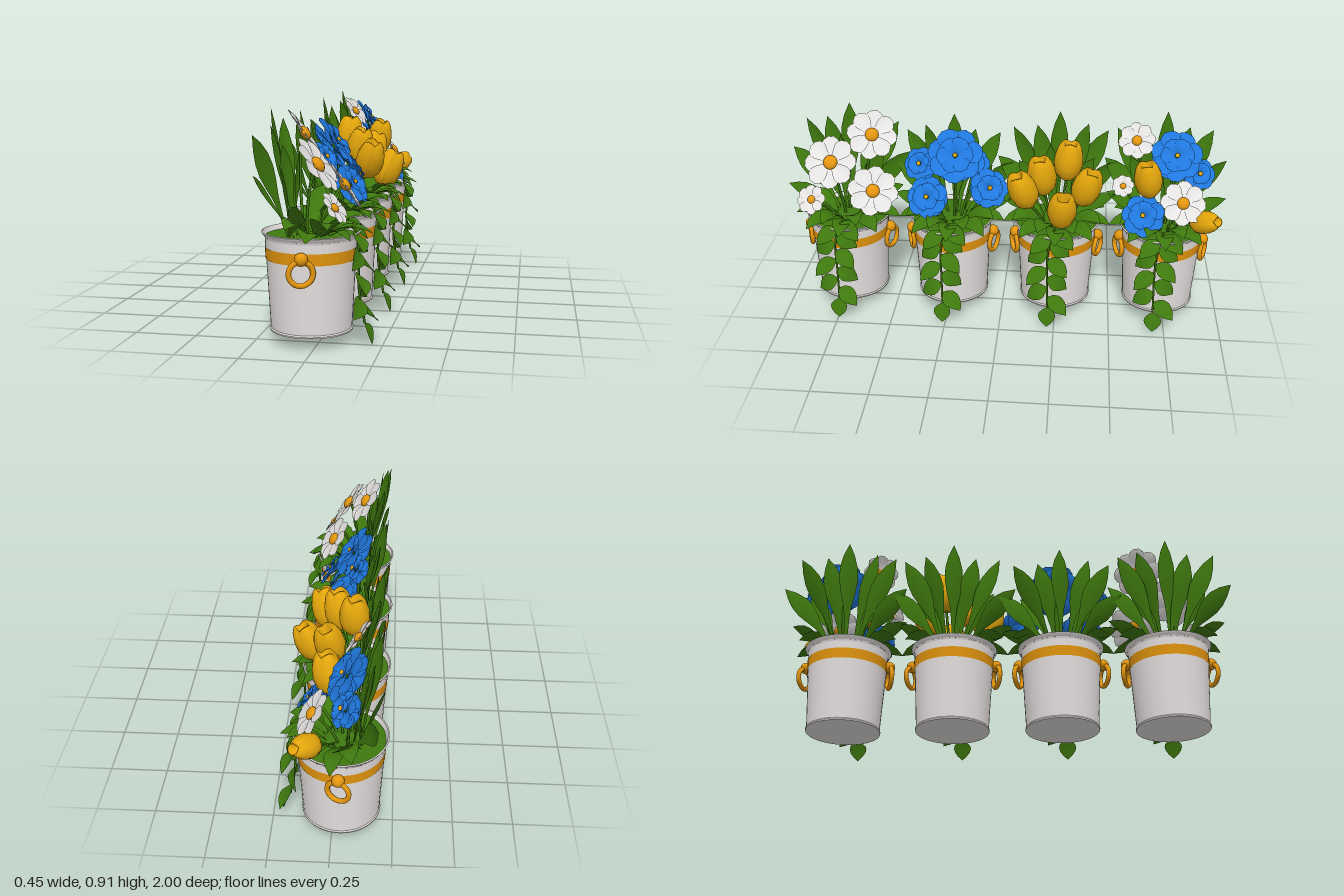
import * as THREE from 'three';
import { mergeGeometries, toCreasedNormals } from 'three/addons/utils/BufferGeometryUtils.js';

const V = (x, y, z) => new THREE.Vector3(x, y, z);
const mat = (name, color) => {
  const m = new THREE.MeshStandardMaterial({ color, side: THREE.DoubleSide });
  m.name = name;
  return m;
};
const POT_X = -0.035;
const POT_Z = [0.717, 0.236, -0.245, -0.725];

// Width profiles from base to tip
const LEAF = [0.1, 0.6, 0.92, 1, 0.88, 0.55, 0];
const BLADE = [0.13, 0.16, 0.24, 0.42, 0.76, 1, 0.95, 0.6, 0];
const PETAL = [0.3, 0.5, 0.75, 0.96, 1, 0.82, 0.3];

// Folded strip along a quadratic curve, spread sideways from the facing direction
function ribbon(a, b, c, width, profile, facing, fold = 0.12) {
  const curve = new THREE.QuadraticBezierCurve3(a, b, c);
  const pos = [], idx = [], n = profile.length - 1;
  profile.forEach((w, i) => {
    const p = curve.getPoint(i / n), t = curve.getTangent(i / n);
    const side = t.clone().cross(facing).normalize();
    const up = side.clone().cross(t);
    for (const s of [-1, 0, 1]) {
      const q = p.clone().addScaledVector(side, s * w * width / 2);
      if (s === 0) q.addScaledVector(up, -fold * w * width);
      pos.push(q.x, q.y, q.z);
    }
    if (i < n) for (const k of [0, 1]) {
      const o = i * 3 + k;
      idx.push(o, o + 1, o + 3, o + 1, o + 4, o + 3);
    }
  });
  const g = new THREE.BufferGeometry();
  g.setAttribute('position', new THREE.Float32BufferAttribute(pos, 3));
  g.setIndex(idx);
  g.computeVertexNormals();
  return g;
}

// Ring of petals around +y
function petals(count, r, width, lift, base, turn = 0) {
  return Array.from({ length: count }, (_, i) => {
    const a = (i / count) * Math.PI * 2 + turn, c = Math.cos(a), s = Math.sin(a);
    const y = base + (i % 2) * 0.004;
    return ribbon(V(c * r * 0.1, y, s * r * 0.1), V(c * r * 0.6, y + lift, s * r * 0.6),
      V(c * r, y + lift * 0.4, s * r), width, PETAL, V(0, 1, 0));
  });
}

// Cup with three soft lobes
function tulipGeometry() {
  const pts = [[0.004, -0.088], [0.034, -0.08], [0.056, -0.052], [0.065, -0.012], [0.062, 0.03],
    [0.051, 0.066], [0.036, 0.09], [0.026, 0.092], [0.02, 0.06], [0.001, 0.04]];
  const g = new THREE.LatheGeometry(pts.map(p => new THREE.Vector2(...p)), 24);
  const p = g.attributes.position;
  for (let i = 0; i < p.count; i++) {
    const x = p.getX(i), y = p.getY(i), z = p.getZ(i);
    const lobe = Math.abs(Math.cos(1.5 * Math.atan2(z, x))) - 0.6;
    const k = 1 + 0.07 * lobe;
    p.setXYZ(i, x * k, y + (y > 0.06 ? 0.014 * lobe : 0), z * k);
  }
  g.computeVertexNormals();
  return g;
}

// Flowers of each pot: kind, x, y, z, then radius, or size and lean for tulips
const FLOWERS = [
  [['daisy', 0, 0.695, 0.776, 0.12], ['daisy', -0.09, 0.797, 0.6, 0.113],
    ['daisy', 0.065, 0.593, 0.578, 0.113], ['daisy', 0.08, 0.545, 0.856, 0.068]],
  [['blue', -0.035, 0.735, 0.216, 0.125], ['blue', 0.06, 0.57, 0.335, 0.096],
    ['blue', 0.01, 0.6, 0.06, 0.09], ['blue', -0.05, 0.68, 0.38, 0.078], ['blue', -0.05, 0.69, 0.13, 0.07]],
  [['tulip', -0.07, 0.71, -0.29, 1, 1], ['tulip', 0.03, 0.63, -0.375, 1, 1], ['tulip', 0.12, 0.56, -0.27, 1, 0.9],
    ['tulip', 0, 0.665, -0.175, 1, 1], ['tulip', 0.06, 0.62, -0.095, 1, 1]],
  [['daisy', -0.1, 0.808, -0.59, 0.082], ['daisy', 0.01, 0.636, -0.537, 0.05], ['daisy', 0.07, 0.593, -0.797, 0.1],
    ['blue', -0.05, 0.765, -0.765, 0.115], ['blue', 0.09, 0.535, -0.627, 0.096], ['blue', -0.05, 0.68, -0.87, 0.075],
    ['tulip', 0.02, 0.675, -0.643, 0.95, 1], ['tulip', 0.09, 0.515, -0.895, 0.78, 3.2]],
];

export function createModel() {
  const model = new THREE.Group();
  const M = {
    pot: mat('white enamel', 0xe8e2e2), gold: mat('gold trim', 0xe4960e),
    leaf: mat('leaf green', 0x3f790e), soil: mat('moss green', 0x3f7a10),
    daisy: mat('white petal', 0xe8e6e4), blue: mat('blue petal', 0x2079e0),
    tulip: mat('yellow petal', 0xe4a60c),
  };
  const add = (parent, name, geometry, material) => {
    const m = new THREE.Mesh(geometry, material);
    m.name = name;
    parent.add(m);
    return m;
  };

  const potGeo = toCreasedNormals(new THREE.LatheGeometry([[0, 0.05], [0.162, 0.05], [0.163, 0.056],
    [0.159, 0.061], [0.179, 0.418], [0.191, 0.431], [0.193, 0.436], [0.187, 0.438], [0.178, 0.41]]
    .map(p => new THREE.Vector2(...p)), 48), 0.6);
  const bandGeo = new THREE.CylinderGeometry(0.179, 0.1765, 0.046, 48, 1, true);
  const soilGeo = new THREE.CircleGeometry(0.181, 40).rotateX(-Math.PI / 2);
  const ringGeo = new THREE.TorusGeometry(0.046, 0.0105, 10, 28);
  const knobGeo = new THREE.SphereGeometry(0.026, 16, 12);
  const tulipGeo = tulipGeometry();

  POT_Z.forEach((pz, n) => {
    // Pot with band and ring handles
    const pot = new THREE.Group();
    pot.name = 'pot';
    pot.position.set(POT_X, 0, pz);
    model.add(pot);
    add(pot, 'bucket', potGeo, M.pot);
    add(pot, 'band', bandGeo, M.gold).position.y = 0.355;
    add(pot, 'soil', soilGeo, M.soil).position.y = 0.418;
    for (const s of [-1, 1]) {
      const ring = add(pot, 'ringHandle', ringGeo, M.gold);
      ring.position.set(0.003, 0.307, s * 0.192);
      ring.rotation.y = s * 0.36;
      add(pot, 'handleKnob', knobGeo, M.gold).position.set(0.003, 0.36, s * 0.188);
    }

    // Tall blades fanned along the back: sideways reach, tip height, tip x
    const greens = [];
    const fan = [[-0.27, 0.67, -0.14], [-0.22, 0.81, -0.165], [-0.13, 0.85, -0.14], [0, 0.9, -0.155],
      [0.1, 0.84, -0.13], [0.21, 0.81, -0.17], [0.28, 0.67, -0.15], [-0.16, 0.71, -0.08],
      [0.04, 0.76, -0.1], [0.18, 0.69, -0.07], [-0.26, 0.57, 0], [0.27, 0.56, 0.01]];
    fan.forEach(([dz, y, x], i) => {
      const z = dz * (n % 2 ? -1 : 1);
      const h = y + [0.01, -0.03, 0, 0.015][n];
      const facing = i < 10 ? V(1, 0.1, (i % 3 - 1) * 0.5) : V(0.6, 1, 0);
      greens.push(ribbon(V(-0.05 - 0.03 * (i % 2), 0.41, z * 0.2), V(x * 0.6 - 0.025, 0.42 + (h - 0.42) * 0.55, z * 0.5),
        V(x, h, z), i < 7 ? 0.088 : 0.075, BLADE, facing));
    });

    // Short leaves spreading over the sides and front of the rim
    for (let i = 0; i < 11; i++) {
      const a = (i - 5) * 0.36, r = 0.225 + 0.02 * (i % 2), c = Math.cos(a), s = Math.sin(a);
      const y = i % 2 ? 0.43 : 0.475;
      greens.push(ribbon(V(c * 0.06, 0.42, s * 0.06), V(c * 0.15, y + 0.07, s * 0.15),
        V(c * r, y, s * r), 0.085, LEAF, V(0.3, 1, 0)));
    }

    // Hanging vine with paired leaves
    const vine = new THREE.CatmullRomCurve3([V(0.07, 0.42, 0), V(0.165, 0.455, 0.01), V(0.192, 0.37, 0.03),
      V(0.192, 0.23, 0.032), V(0.215, 0.085, 0.028)]);
    add(pot, 'vineStem', new THREE.TubeGeometry(vine, 20, 0.005, 5), M.leaf);
    for (let i = 0; i < 10; i++) {
      const p = vine.getPoint(0.25 + i * 0.0833), s = i % 2 ? 1 : -1;
      const last = i === 9;
      const tip = last ? V(0.03, -0.085, 0) : V(i % 4 < 2 ? 0.045 : -0.01, -0.062, s * 0.09);
      greens.push(ribbon(p, p.clone().add(V(0.03, last ? -0.02 : 0.002, last ? 0 : s * 0.045)),
        p.clone().add(tip), 0.078, LEAF, V(1, 0.5, s * (i % 3 ? 0.6 : 0.1))));
    }
    add(pot, 'leaves', mergeGeometries(greens), M.leaf);

    // Blooms on curved stems
    for (const [kind, x, y, z, size, lean] of FLOWERS[n]) {
      const at = V(x - POT_X, y, z - pz);
      const bloom = new THREE.Group();
      bloom.name = kind === 'tulip' ? 'tulip' : kind === 'blue' ? 'blueFlower' : 'daisy';
      bloom.position.copy(at);
      pot.add(bloom);
      let axis;
      if (kind === 'tulip') {
        axis = V((at.x * 0.6 + 0.03) * lean, y - 0.3, at.z * 0.75 * lean).normalize();
        add(bloom, 'cup', tulipGeo, M.tulip).scale.setScalar(size);
      } else {
        const isBlue = kind === 'blue';
        axis = V(0.8, 0.58, at.z * (isBlue ? 2 : 1.4)).normalize();
        const layers = isBlue
          ? [...petals(7, size * 0.9, size * 0.85, -0.012, -0.03, 0.45), ...petals(7, size, size * 0.8, 0.03, -0.014),
            ...petals(6, size * 0.66, size * 0.62, 0.036, 0, 0.4)]
          : petals(8, size, size * 0.7, 0.018, 0);
        add(bloom, 'petals', mergeGeometries(layers), M[kind]);
        const heart = add(bloom, 'heart', knobGeo, isBlue ? M.tulip : M.gold);
        const k = isBlue ? 0.4 : size * 10.5;
        heart.scale.set(k, k * 0.6, k);
        heart.position.y = isBlue ? 0.015 : 0.008;
      }
      bloom.quaternion.setFromUnitVectors(V(0, 1, 0), axis);
      const end = at.clone().addScaledVector(axis, kind === 'tulip' ? -0.08 * size : -0.01);
      const stem = new THREE.QuadraticBezierCurve3(V(at.x * 0.3 - 0.02, 0.41, at.z * 0.35),
        V(end.x * 0.6 - 0.03, (0.41 + end.y) / 2, end.z * 0.7), end);
      add(pot, 'flowerStem', new THREE.TubeGeometry(stem, 8, 0.006, 6), M.leaf);
    }
  });
  return model;
}
